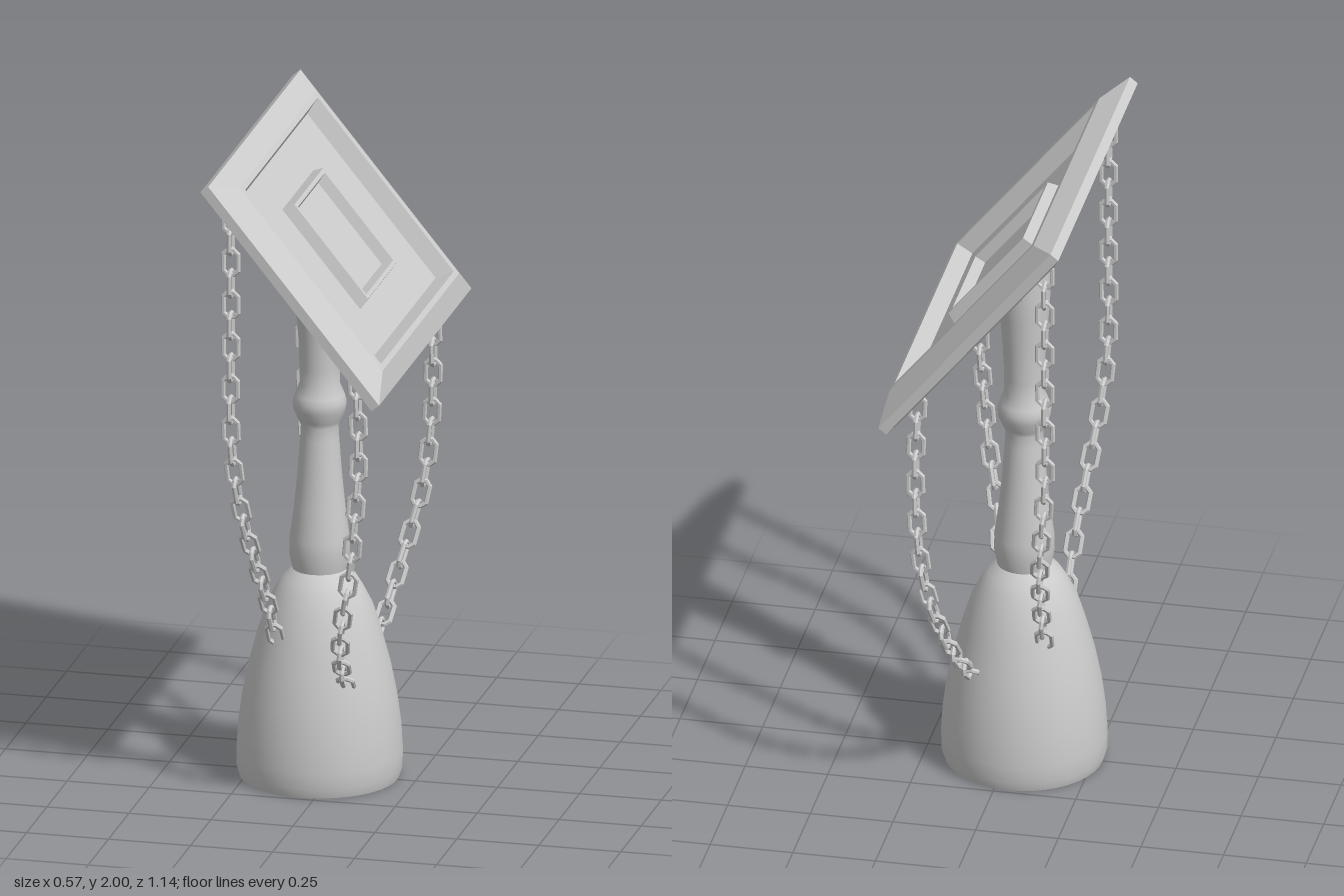
import * as THREE from 'three';

const smooth = new THREE.MeshStandardMaterial({ color: 0xcccccc });
const flat = new THREE.MeshStandardMaterial({ color: 0xcccccc, flatShading: true });

const POST_X = -0.042;
const TILT = -0.888;
const BOARD = new THREE.Vector3(0.01, 1.668, 0);

function add(parent, name, geometry, material) {
  const mesh = new THREE.Mesh(geometry, material);
  mesh.name = name;
  parent.add(mesh);
  return mesh;
}

// Joins concentric rectangles [halfX, halfZ, height], from underneath to the top
function rectLoft(rings) {
  const corners = rings.map(([x, z, y]) => [[-x, y, -z], [-x, y, z], [x, y, z], [x, y, -z]]);
  const positions = [];
  for (let r = 0; r < rings.length - 1; r++) {
    for (let i = 0; i < 4; i++) {
      const j = (i + 1) % 4, a = corners[r], b = corners[r + 1];
      positions.push(...a[i], ...a[j], ...b[j], ...a[i], ...b[j], ...b[i]);
    }
  }
  const g = new THREE.BufferGeometry();
  g.setAttribute('position', new THREE.Float32BufferAttribute(positions, 3));
  g.computeVertexNormals();
  return g;
}

function lathe(points) {
  return new THREE.LatheGeometry(points.map(([r, y]) => new THREE.Vector2(r, y)), 40);
}

// Eight-sided chain link, stretched along y
function linkGeometry() {
  const g = new THREE.TorusGeometry(0.024, 0.0075, 6, 8).rotateZ(Math.PI / 8);
  const p = g.attributes.position;
  for (let i = 0; i < p.count; i++) p.setY(i, p.getY(i) + Math.sign(p.getY(i)) * 0.016);
  return g;
}

// Links along a curve, each turned a quarter from the one before
function chain(name, points, side, link) {
  const curve = new THREE.CatmullRomCurve3(points.map(([x, y, z]) => new THREE.Vector3(x, y, z * side)));
  const group = new THREE.Group();
  group.name = name;
  const count = Math.round(curve.getLength() / 0.065);
  for (let i = 0; i <= count; i++) {
    const t = curve.getTangentAt(i / count).negate();
    const across = new THREE.Vector3(1, 0, 0).addScaledVector(t, -t.x).normalize();
    const normal = new THREE.Vector3().crossVectors(across, t);
    const basis = i % 2 === 0
      ? new THREE.Matrix4().makeBasis(across, t, normal)
      : new THREE.Matrix4().makeBasis(normal.clone().negate(), t, across);
    const mesh = add(group, 'chainLink', link, flat);
    mesh.quaternion.setFromRotationMatrix(basis);
    mesh.position.copy(curve.getPointAt(i / count));
  }
  return group;
}

export function createModel() {
  const model = new THREE.Group();
  model.name = 'tiltedBoardStand';

  // Bell-shaped base
  const base = add(model, 'base', lathe([
    [0.237, 0], [0.246, 0.03], [0.247, 0.08], [0.242, 0.16], [0.23, 0.25], [0.21, 0.35],
    [0.183, 0.45], [0.158, 0.53], [0.13, 0.585], [0.108, 0.62], [0.08, 0.645],
  ]), smooth);
  base.position.x = POST_X;
  const bottom = add(model, 'baseBottom', new THREE.CircleGeometry(0.237, 40).rotateX(Math.PI / 2), smooth);
  bottom.position.x = POST_X;

  // Turned post with a collar, its top cut to the slope of the board
  const postGeometry = lathe([
    [0.08, 0.64], [0.09, 0.69], [0.089, 0.74], [0.077, 0.83], [0.066, 0.94], [0.058, 1.05],
    [0.056, 1.09], [0.063, 1.105], [0.078, 1.14], [0.08, 1.165], [0.074, 1.185], [0.06, 1.22],
    [0.06, 1.27], [0.064, 1.37], [0.073, 1.48], [0.078, 1.56], [0.078, 1.85],
  ]);
  const p = postGeometry.attributes.position;
  for (let i = 0; i < p.count; i++) {
    const x = p.getX(i) + POST_X - BOARD.x;
    const limit = BOARD.y - (0.015 + 0.775 * x) / 0.63;
    p.setY(i, Math.min(p.getY(i), limit));
  }
  add(model, 'post', postGeometry, smooth).position.x = POST_X;

  // Tilted board: bevelled rim around a recessed panel
  const board = new THREE.Group();
  board.name = 'board';
  board.position.copy(BOARD);
  board.rotation.z = TILT;
  model.add(board);
  add(board, 'panel', rectLoft([
    [0, 0, -0.028], [0.37, 0.535, -0.028], [0.413, 0.568, -0.018], [0.413, 0.568, 0.012],
    [0.345, 0.47, 0.05], [0.328, 0.447, 0.05], [0.31, 0.426, 0], [0, 0, 0],
  ]), flat);
  // Small raised frame in the middle
  add(board, 'innerFrame', rectLoft([
    [0.188, 0.19, 0], [0.178, 0.178, 0.035], [0.165, 0.165, 0.035], [0.153, 0.153, 0.003], [0, 0, 0.003],
  ]), flat);

  // Four hanging chains, mirrored front to back
  const link = linkGeometry();
  const upper = [
    [-0.2, 1.86, 0.455], [-0.2, 1.5, 0.455], [-0.2, 1.18, 0.45], [-0.19, 1.03, 0.432], [-0.175, 0.9, 0.395],
    [-0.16, 0.78, 0.34], [-0.15, 0.68, 0.28], [-0.142, 0.59, 0.225], [-0.137, 0.48, 0.165],
  ];
  const lower = [
    [0.185, 1.375, 0.455], [0.19, 1.13, 0.46], [0.178, 0.92, 0.47], [0.16, 0.77, 0.452],
    [0.13, 0.63, 0.41], [0.105, 0.51, 0.34], [0.09, 0.42, 0.26], [0.08, 0.345, 0.17],
  ];
  for (const side of [1, -1]) {
    const end = side > 0 ? 'front' : 'back';
    model.add(chain(end + 'UpperChain', upper, side, link));
    model.add(chain(end + 'LowerChain', lower, side, link));
  }
  return model;
}
